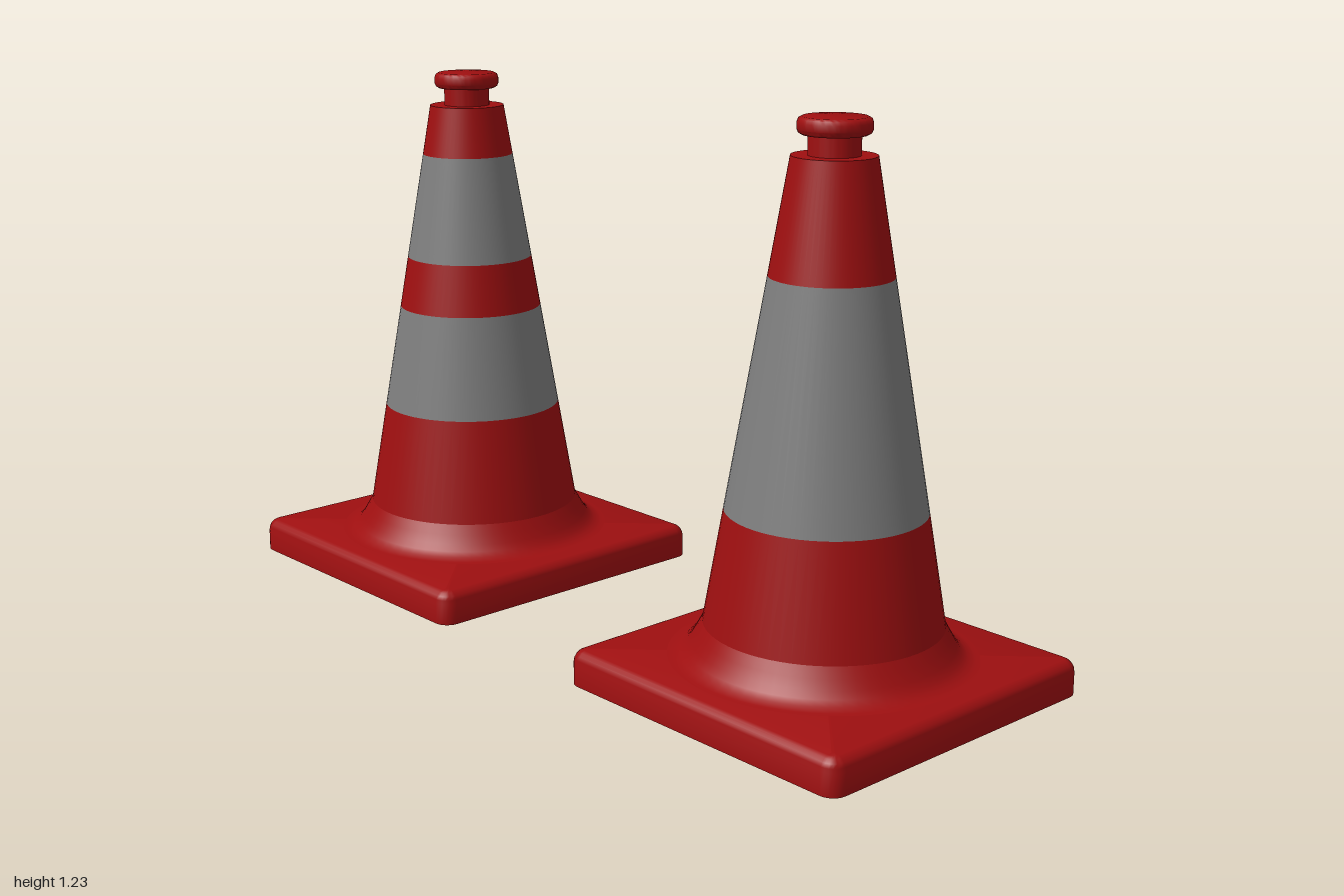
import * as THREE from 'three';
import { toCreasedNormals } from 'three/addons/utils/BufferGeometryUtils.js';

const HALF = 0.39, CORNER = 0.035, BEVEL = 0.03, BASE_TOP = 0.08;
const CONE_BOTTOM = 0.155, CONE_TOP = 1.155;

// Cone radius at a given height
const coneRadius = (y) => THREE.MathUtils.mapLinear(y, CONE_BOTTOM, CONE_TOP, 0.26, 0.09);

function lathe(points) {
  const g = new THREE.LatheGeometry(points.map(([r, y]) => new THREE.Vector2(r, y)), 64);
  return toCreasedNormals(g, 0.7);
}

// Square plate with rounded corners, rounded top edge and flat underside
function baseGeometry() {
  const rings = [[HALF, 0], [0, 0], [0, BASE_TOP - BEVEL]]; // [inset, y]
  const steps = 5, seg = 6;
  for (let i = 1; i <= steps; i++) {
    const a = (i / steps) * Math.PI / 2;
    rings.push([BEVEL * (1 - Math.cos(a)), BASE_TOP - BEVEL + BEVEL * Math.sin(a)]);
  }
  rings.push([HALF, BASE_TOP]);

  const n = 4 * (seg + 1), pos = [], index = [];
  for (const [inset, y] of rings) {
    const s = (HALF - inset) / HALF;
    const r = inset === HALF ? 0 : Math.max(CORNER - inset, 0.004);
    const c = HALF * s - r;
    for (let q = 0; q < 4; q++) {
      const sx = q === 0 || q === 3 ? 1 : -1, sz = q < 2 ? 1 : -1;
      for (let k = 0; k <= seg; k++) {
        const a = (q + k / seg) * Math.PI / 2;
        pos.push(sx * c + r * Math.cos(a), y, sz * c + r * Math.sin(a));
      }
    }
  }
  for (let j = 0; j < rings.length - 1; j++) {
    for (let i = 0; i < n; i++) {
      const a = j * n + i, b = j * n + (i + 1) % n;
      if (j > 0) index.push(a, a + n, b);
      if (j < rings.length - 2) index.push(b, a + n, b + n);
      else continue;
    }
  }
  const g = new THREE.BufferGeometry();
  g.setAttribute('position', new THREE.Float32BufferAttribute(pos, 3));
  g.setIndex(index);
  g.computeVertexNormals();
  return toCreasedNormals(g, 0.6);
}

export function createModel() {
  const red = new THREE.MeshStandardMaterial({ color: 0x9e0f10 });
  red.name = 'red plastic';
  const grey = new THREE.MeshStandardMaterial({ color: 0x7e7e7e });
  grey.name = 'grey reflective band';

  const plate = baseGeometry();

  // Curved flare joining the plate to the cone
  const flare = lathe([[0.345, 0.079], [0.325, 0.081], [0.308, 0.087], [0.295, 0.097],
    [0.284, 0.112], [0.272, 0.133], [0.26, CONE_BOTTOM]]);

  // Shoulder, neck and rounded cap
  const top = lathe([[0.09, CONE_TOP], [0.055, CONE_TOP], [0.055, 1.197], [0.068, 1.197],
    [0.075, 1.201], [0.078, 1.208], [0.078, 1.222], [0.075, 1.23], [0.068, 1.234], [0, 1.234]]);

  function cone(name, z, levels) {
    const group = new THREE.Group();
    group.name = name;
    group.position.z = z;
    const add = (part, geometry, material) => {
      const mesh = new THREE.Mesh(geometry, material);
      mesh.name = part;
      group.add(mesh);
    };
    add('basePlate', plate, red);
    add('flare', flare, red);
    // Alternating red and grey sections of the cone wall
    for (let i = 0; i < levels.length - 1; i++) {
      const [y0, y1] = [levels[i], levels[i + 1]];
      const wall = new THREE.CylinderGeometry(coneRadius(y1), coneRadius(y0), y1 - y0, 64, 1, true);
      wall.translate(0, (y0 + y1) / 2, 0);
      add(i % 2 ? 'greyBand' : 'redSection', wall, i % 2 ? grey : red);
    }
    add('neckAndCap', top, red);
    return group;
  }

  const model = new THREE.Group();
  model.name = 'trafficCones';
  model.add(cone('singleBandCone', 0.61, [CONE_BOTTOM, 0.405, 0.906, CONE_TOP]));
  model.add(cone('doubleBandCone', -0.61, [CONE_BOTTOM, 0.405, 0.655, 0.78, 1.035, CONE_TOP]));
  return model;
}
